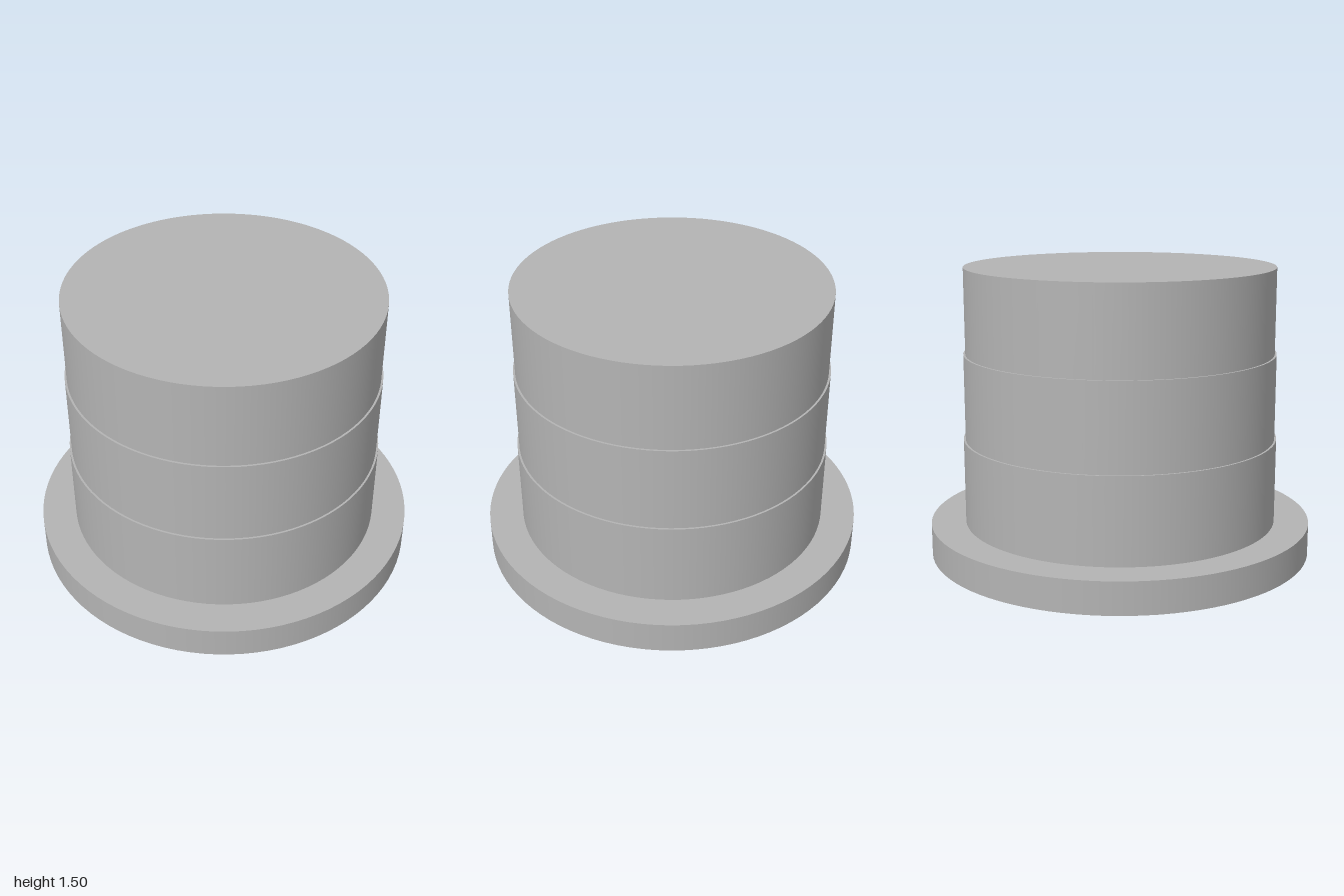
import * as THREE from 'three';

export function createModel() {
  const group = new THREE.Group();
  const grey = new THREE.MeshStandardMaterial({ color: 0xb4b4b4 });
  grey.name = 'grey';

  // Stacked round tiers: name, radius, bottom, top
  const tiers = [
    ['baseFlange', 1.0, 0, 0.167],
    ['lowerTier', 0.82, 0.167, 0.611],
    ['middleTier', 0.81, 0.611, 1.056],
    ['upperTier', 0.8, 1.056, 1.5],
  ];
  for (const [name, radius, bottom, top] of tiers) {
    const tier = new THREE.Mesh(new THREE.CylinderGeometry(radius, radius, top - bottom, 96), grey);
    tier.name = name;
    tier.position.y = (bottom + top) / 2;
    group.add(tier);
  }
  return group;
}
